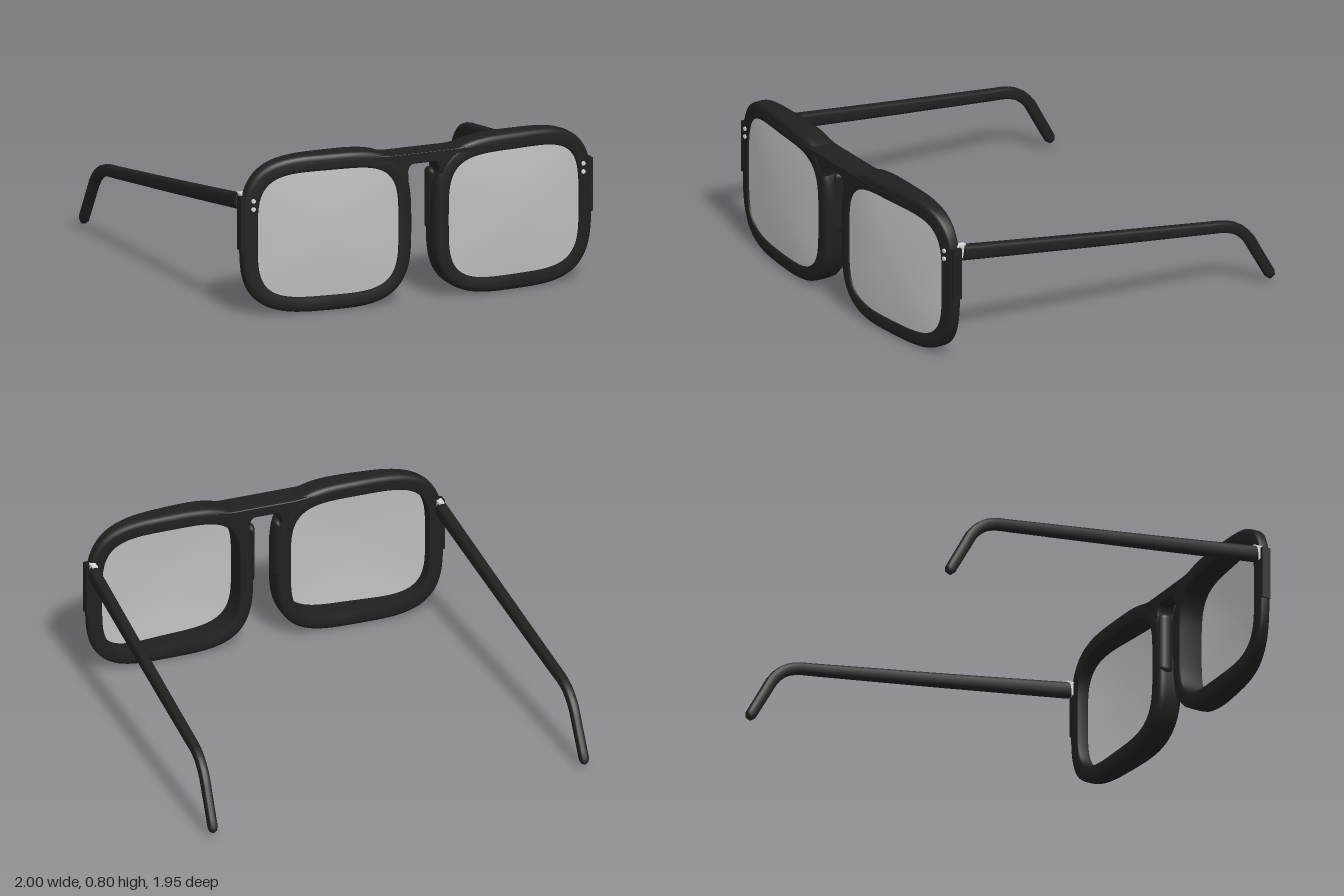
import * as THREE from 'three';

const black = new THREE.MeshStandardMaterial({ color: 0x202020 });
black.name = 'blackAcetate';
const grey = new THREE.MeshStandardMaterial({ color: 0xbebebe, side: THREE.DoubleSide });
grey.name = 'greyLens';
const metal = new THREE.MeshStandardMaterial({ color: 0xd8d8d8 });
metal.name = 'paleMetal';

const BACK = 0.84;
// Bowed front face of the frame: depth z for a given x
const frontZ = (x) => {
  const a = Math.max(0, Math.abs(x) - 0.2);
  return 0.977 - 0.15 * Math.pow(a, 1.9);
};

// Skin between closed rings of points
function loft(rings, closed = false) {
  const n = rings[0].length, m = rings.length, index = [];
  for (let i = 0; i < (closed ? m : m - 1); i++) {
    for (let j = 0; j < n; j++) {
      const i2 = (i + 1) % m, j2 = (j + 1) % n;
      const a = i * n + j, b = i2 * n + j, c = i2 * n + j2, d = i * n + j2;
      index.push(a, b, c, a, c, d);
    }
  }
  const g = new THREE.BufferGeometry();
  g.setAttribute('position', new THREE.Float32BufferAttribute(rings.flat(2), 3));
  g.setIndex(index);
  g.computeVertexNormals();
  return g;
}

// Point on a rounded-square outline
function squircle(t, cx, cy, rx, ry, power) {
  const c = Math.cos(t), s = Math.sin(t), e = 2 / power;
  return [cx + rx * Math.sign(c) * Math.abs(c) ** e, cy + ry * Math.sign(s) * Math.abs(s) ** e];
}
const outer = (t, side) => squircle(t, side * 0.497, 0.404, 0.439, 0.399, 3.4);
const inner = (t, side) => squircle(t, side * 0.497, 0.403, 0.363, 0.318, 4);

// Rim section: u from lens opening to outer edge, v from back to front
const SECTION = [[0, 0.06], [0.08, 0], [0.65, 0], [0.88, 0.04], [0.98, 0.14], [1, 0.3],
  [1, 0.68], [0.97, 0.85], [0.86, 0.95], [0.65, 1], [0.1, 1], [0, 0.95]];
const STEPS = 96;

function rimGeometry(side) {
  const rings = [];
  for (let i = 0; i < STEPS; i++) {
    const t = (i / STEPS) * Math.PI * 2, o = outer(t, side), n = inner(t, side);
    rings.push(SECTION.map(([u, v]) => {
      const x = n[0] + (o[0] - n[0]) * u, y = n[1] + (o[1] - n[1]) * u;
      return [x, y, BACK + (frontZ(x) - BACK) * v];
    }));
  }
  return loft(rings, true);
}

function lensGeometry(side) {
  const rings = [];
  for (let k = 0; k <= 8; k++) {
    const r = k / 8, ring = [];
    for (let i = 0; i < STEPS; i++) {
      const p = inner((i / STEPS) * Math.PI * 2, side);
      const x = side * 0.497 + (p[0] - side * 0.497) * r * 1.01;
      const y = 0.403 + (p[1] - 0.403) * r * 1.01;
      ring.push([x, y, frontZ(x) + 0.006 - 0.016 * r * r]);
    }
    rings.push(ring);
  }
  return loft(rings);
}

// Temple arm: rounded section swept along a straight run and a bent ear hook
function templeGeometry(side) {
  const pts = [[0.575, 0.82], [0.472, 0.1], [0.378, -0.58], [0.362, -0.69], [0.335, -0.755],
    [0.28, -0.815], [0.2, -0.862], [0.03, -0.958]];
  const curve = new THREE.CatmullRomCurve3(pts.map(([y, z]) => new THREE.Vector3(0, y, z)), false, 'centripetal');
  const ring = (k, scale) => {
    const p = curve.getPointAt(k), t = curve.getTangentAt(k), out = [];
    const x = side * (0.914 + ((0.82 - p.z) / 1.78) * 0.063);
    const w = (0.028 - 0.005 * k) * scale, h = (0.04 - 0.013 * k) * scale;
    for (let j = 0; j < 16; j++) {
      const [a, b] = squircle((j / 16) * Math.PI * 2, 0, 0, w, h, 3);
      out.push([x + a, p.y - t.z * b, p.z + t.y * b]);
    }
    return out;
  };
  const rings = [ring(0, 0), ring(0, 1), ring(0, 1)];
  for (let i = 1; i <= 48; i++) rings.push(ring((i / 48) * 0.985, 1));
  rings.push(ring(0.995, 0.7), ring(1, 0));
  return loft(rings);
}

function createModel() {
  const model = new THREE.Group();
  const add = (name, geometry, material, x = 0, y = 0, z = 0) => {
    const mesh = new THREE.Mesh(geometry, material);
    mesh.name = name;
    mesh.position.set(x, y, z);
    model.add(mesh);
    return mesh;
  };

  for (const side of [1, -1]) {
    const label = side > 0 ? 'left' : 'right';
    add(label + 'Rim', rimGeometry(side), black);
    add(label + 'Lens', lensGeometry(side), grey);
    add(label + 'Temple', templeGeometry(side), black);

    // Hinge and the block that carries it
    add(label + 'Hinge', new THREE.BoxGeometry(0.028, 0.07, 0.05), metal, side * 0.912, 0.585, 0.83);
    add(label + 'EndPiece', new THREE.BoxGeometry(0.035, 0.27, 0.048), black, side * 0.9255, 0.475, 0.866);

    // Nose pad along the inner side of the rim
    const pad = new THREE.CapsuleGeometry(0.03, 0.26, 6, 12);
    pad.scale(0.75, 1, 1.3);
    add(label + 'NosePad', pad, black, side * 0.07, 0.5, 0.882);

    // Pair of rivets on the front
    for (const y of [0.592, 0.55]) {
      const rivet = new THREE.CylinderGeometry(0.011, 0.011, 0.012, 12);
      rivet.rotateX(Math.PI / 2);
      add(label + 'Rivet', rivet, metal, side * 0.883, y, frontZ(0.883) + 0.001);
    }
  }

  // Bridge with a filleted underside
  const s = new THREE.Shape();
  s.moveTo(-0.26, 0.77);
  s.quadraticCurveTo(-0.2, 0.755, -0.15, 0.755);
  s.lineTo(0.15, 0.755);
  s.quadraticCurveTo(0.2, 0.755, 0.26, 0.77);
  s.lineTo(0.2, 0.735);
  s.lineTo(0.12, 0.64);
  s.lineTo(0.09, 0.65);
  s.quadraticCurveTo(0.088, 0.712, 0.05, 0.712);
  s.lineTo(-0.05, 0.712);
  s.quadraticCurveTo(-0.088, 0.712, -0.09, 0.65);
  s.lineTo(-0.12, 0.64);
  s.lineTo(-0.2, 0.735);
  const bridge = new THREE.ExtrudeGeometry(s, {
    depth: 0.116, bevelThickness: 0.008, bevelSize: 0.006, bevelSegments: 2, curveSegments: 10,
  });
  add('bridge', bridge, black, 0, 0, BACK + 0.009);

  // Slim brow ridge following the bowed front
  const brow = new THREE.BoxGeometry(1.24, 0.018, 0.02, 32, 1, 1);
  const p = brow.attributes.position;
  for (let i = 0; i < p.count; i++) p.setZ(i, p.getZ(i) + frontZ(p.getX(i)) - 0.005);
  brow.computeVertexNormals();
  add('browRidge', brow, black, 0, 0.749, 0);

  return model;
}

export { createModel };
